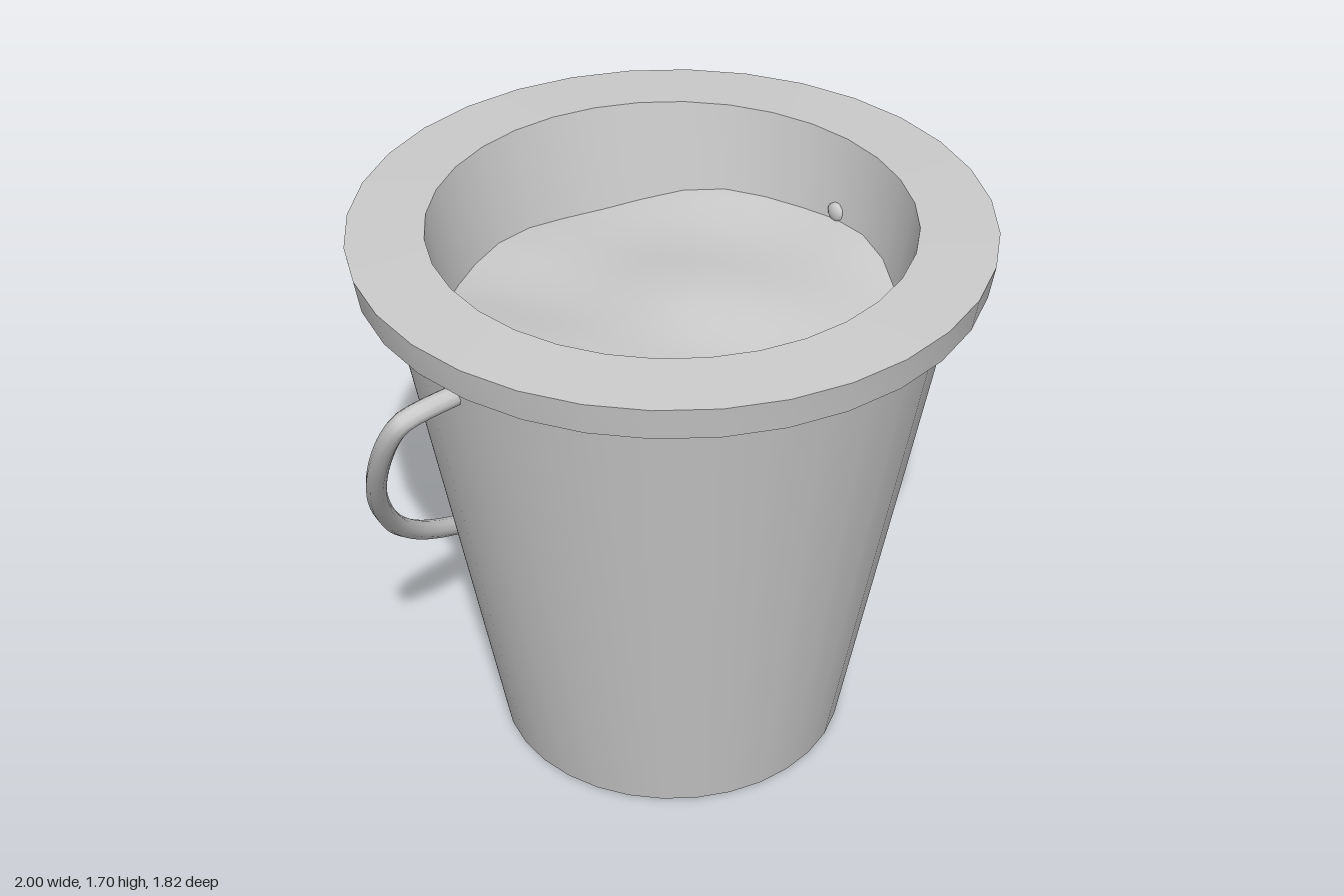
import * as THREE from 'three';
import { mergeVertices, toCreasedNormals } from 'three/addons/utils/BufferGeometryUtils.js';

const material = new THREE.MeshStandardMaterial({ color: 0xcccccc });

function addMesh(group, name, geometry) {
  const mesh = new THREE.Mesh(geometry, material);
  mesh.name = name;
  group.add(mesh);
  return mesh;
}

// Tapered shell with a thick rim, turned as one closed profile
function pailGeometry() {
  const profile = [
    [0, 0], [0.52, 0], [0.81, 1.585], [0.895, 1.585], [0.912, 1.685],
    [0.69, 1.695], [0.63, 1.33], [0, 1.33],
  ].map(([r, y]) => new THREE.Vector2(r, y));
  return toCreasedNormals(new THREE.LatheGeometry(profile, 32), 0.5);
}

// Uneven filling: higher towards the sides, gentle lumps all over
function fillingGeometry() {
  let geometry = new THREE.RingGeometry(0, 0.65, 32, 12);
  geometry.rotateX(-Math.PI / 2);
  geometry.deleteAttribute('uv');
  geometry.deleteAttribute('normal');
  geometry = mergeVertices(geometry);
  const p = geometry.attributes.position;
  for (let i = 0; i < p.count; i++) {
    const x = p.getX(i), z = p.getZ(i);
    const swell = 0.085 * (x * x - z * z);
    const lumps = 0.013 * Math.cos(9 * z + 2 * x) * Math.cos(5 * x)
      + 0.007 * Math.sin(11 * x - 4 * z);
    p.setY(i, 1.405 + swell + lumps);
  }
  geometry.computeVertexNormals();
  return geometry;
}

// Bail path: pegs pass through the wall, the loop swings down at the back
function handlePath() {
  const half = [
    [0.65, 1.465], [0.78, 1.465], [0.91, 1.465], [0.955, 1.45], [0.97, 1.39], [0.95, 1.24],
    [0.89, 1.06], [0.8, 0.89], [0.67, 0.71], [0.5, 0.56], [0.27, 0.445],
  ];
  const mirrored = half.map(([x, y]) => [-x, y]).reverse();
  const points = [...half, [0, 0.41], ...mirrored]
    .map(([x, y]) => new THREE.Vector3(x, y, -0.605 * (1.465 - y)));
  return new THREE.CatmullRomCurve3(points);
}

export function createModel() {
  const model = new THREE.Group();
  model.name = 'bucket';

  addMesh(model, 'pail', pailGeometry());
  addMesh(model, 'filling', fillingGeometry());

  const handle = new THREE.Group();
  handle.name = 'handle';
  addMesh(handle, 'bail', new THREE.TubeGeometry(handlePath(), 120, 0.03, 10));
  // Rounded peg ends inside the pail
  for (const side of [-1, 1]) {
    const end = addMesh(handle, side > 0 ? 'leftPegEnd' : 'rightPegEnd',
      new THREE.SphereGeometry(0.03, 10, 8));
    end.scale.x = 0.5;
    end.position.set(side * 0.65, 1.465, 0);
  }
  model.add(handle);
  return model;
}
